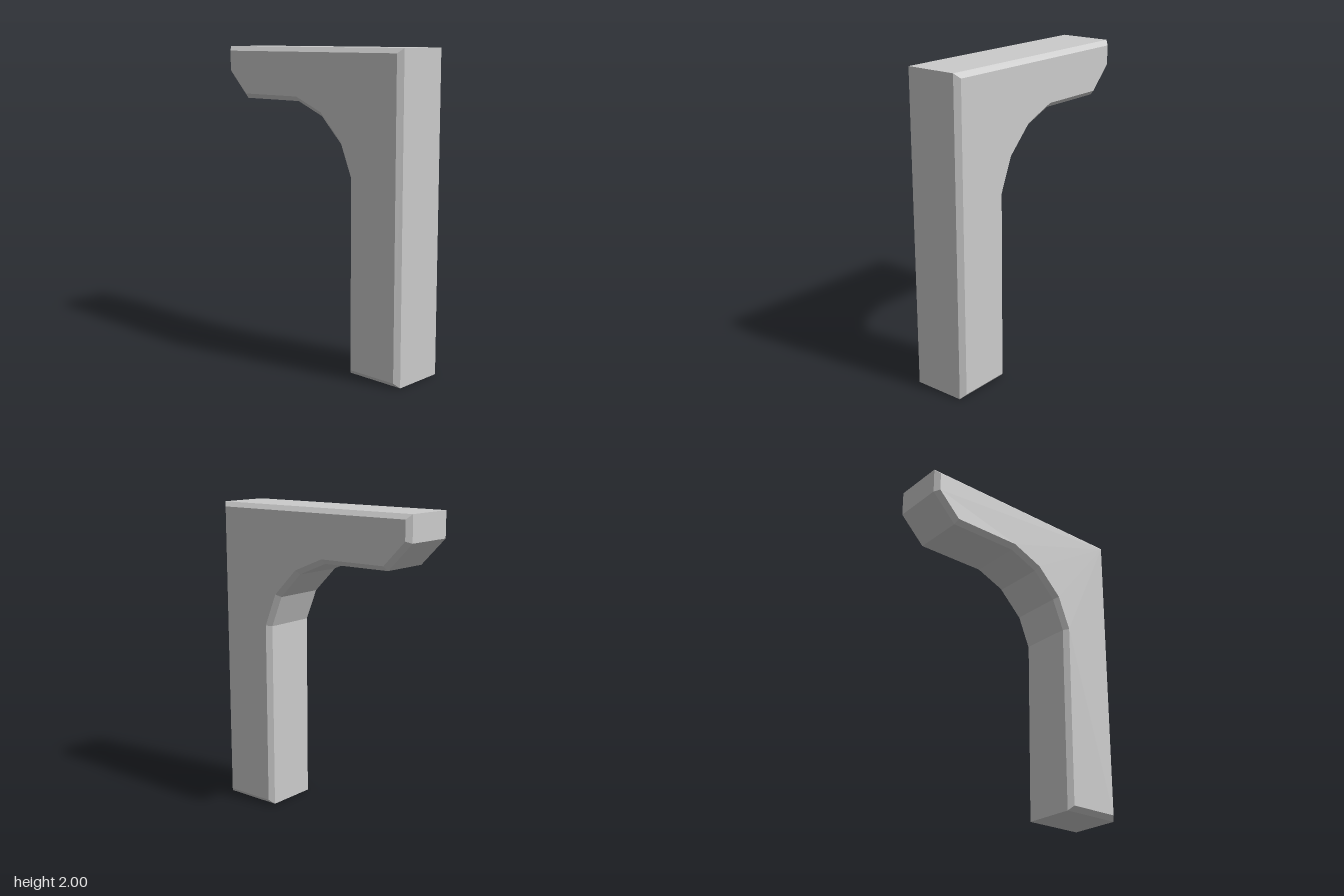
import * as THREE from 'three';

export function createModel() {
  const group = new THREE.Group();
  group.name = 'bracket';
  const depth = 0.4, bevel = 0.03;

  // Side profile: post, top arm with a cut tip, and a faceted curved brace
  const outline = [
    [0.34, 0], [0.74, 0], [0.74, 2], [-0.74, 2], [-0.74, 1.835], [-0.573, 1.665],
    [-0.103, 1.665], [0.098, 1.582], [0.258, 1.422], [0.34, 1.222],
  ].map(([x, y]) => new THREE.Vector2(x, y));

  // Chamfered front and back edges, kept inside the outline
  const geometry = new THREE.ExtrudeGeometry(new THREE.Shape(outline), {
    depth: depth - 2 * bevel,
    bevelEnabled: true,
    bevelSegments: 1,
    bevelThickness: bevel,
    bevelSize: bevel,
    bevelOffset: -bevel,
  });
  geometry.translate(0, 0, bevel - depth / 2);
  geometry.translate(0, 0, -bevel + bevel);

  // The extrusion runs from -bevel to depth - bevel, so centre it exactly
  geometry.computeBoundingBox();
  const box = geometry.boundingBox;
  geometry.translate(0, 0, -(box.min.z + box.max.z) / 2);

  const body = new THREE.Mesh(
    geometry,
    new THREE.MeshStandardMaterial({ color: 0xcccccc, flatShading: true }),
  );
  body.name = 'bracketBody';
  group.add(body);
  return group;
}
